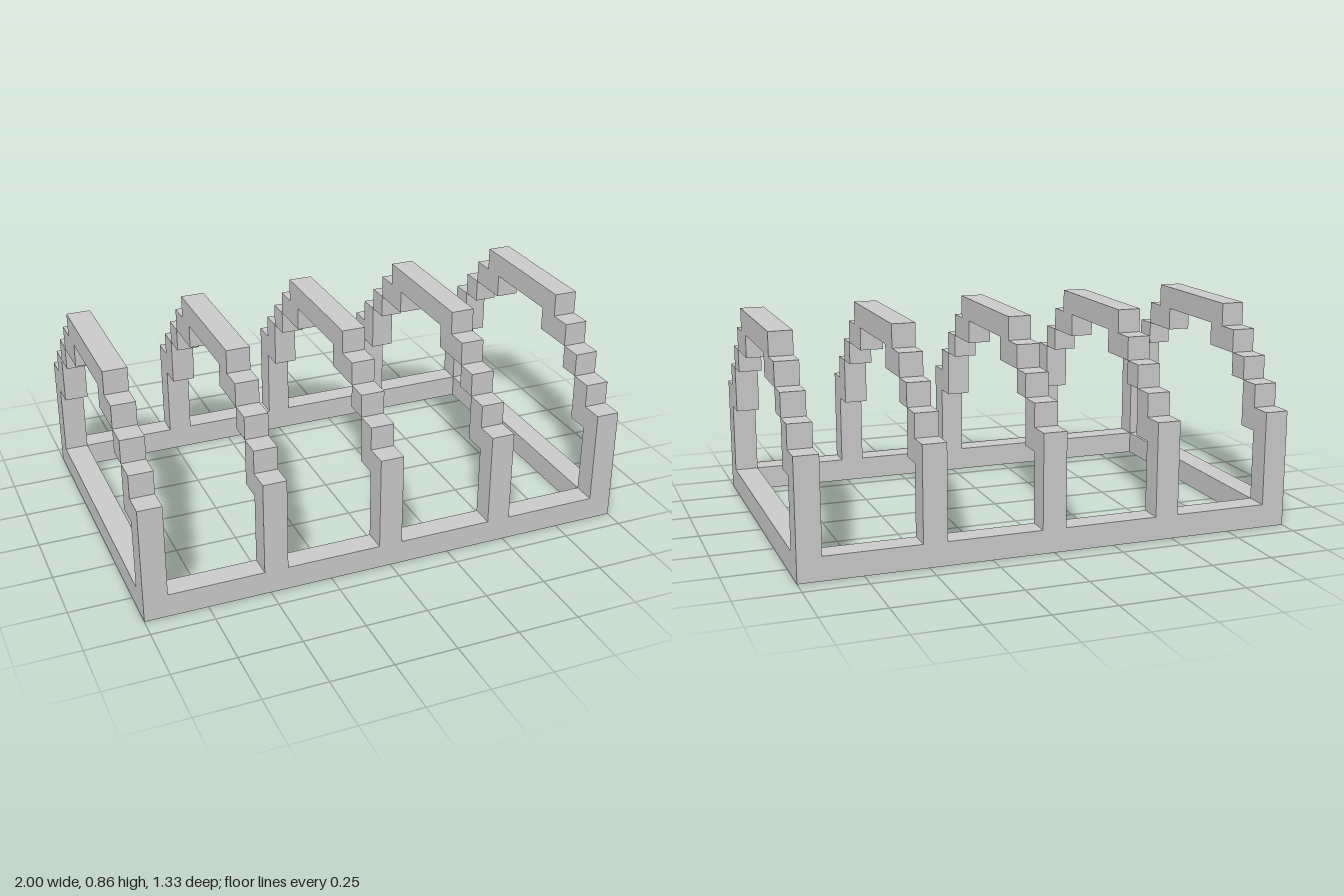
import * as THREE from 'three';

// Everything sits on a block grid: 21 wide, 9 high, 14 deep
const U = 2 / 21;
const material = new THREE.MeshStandardMaterial({ color: 0xcccccc, flatShading: true });

// Box spanning grid coordinates [x0,x1] [y0,y1] [z0,z1]
function block(name, [x0, x1], [y0, y1], [z0, z1]) {
  const geometry = new THREE.BoxGeometry((x1 - x0) * U, (y1 - y0) * U, (z1 - z0) * U);
  const mesh = new THREE.Mesh(geometry, material);
  mesh.position.set((x0 + x1) / 2 * U, (y0 + y1) / 2 * U, (z0 + z1) / 2 * U);
  mesh.name = name;
  return mesh;
}

// Half of the stepped arch, as [name, y range, z range]
const STEPS = [
  ['post', [1, 5], [6, 7]],
  ['lowerStep', [4, 6], [5, 6]],
  ['middleStep', [6, 7], [4, 5]],
  ['upperStep', [7, 8], [2, 4]],
];

function createRib(x) {
  const rib = new THREE.Group();
  rib.name = 'archRib';
  const width = [-0.5, 0.5];
  for (const [name, y, [z0, z1]] of STEPS) {
    rib.add(block(name + 'Front', width, y, [z0, z1]));
    rib.add(block(name + 'Back', width, y, [-z1, -z0]));
  }
  rib.add(block('ridgeBeam', width, [8, 9], [-3, 3]));
  rib.position.x = x * U;
  return rib;
}

export function createModel() {
  const model = new THREE.Group();
  model.name = 'archedFrame';

  // Rectangular base frame
  const base = new THREE.Group();
  base.name = 'baseFrame';
  base.add(
    block('frontRail', [-10.5, 10.5], [0, 1], [6, 7]),
    block('backRail', [-10.5, 10.5], [0, 1], [-7, -6]),
    block('leftRail', [9.5, 10.5], [0, 1], [-6, 6]),
    block('rightRail', [-10.5, -9.5], [0, 1], [-6, 6]),
  );
  model.add(base);

  // Five evenly spaced arches
  for (let x = -10; x <= 10; x += 5) model.add(createRib(x));
  return model;
}
